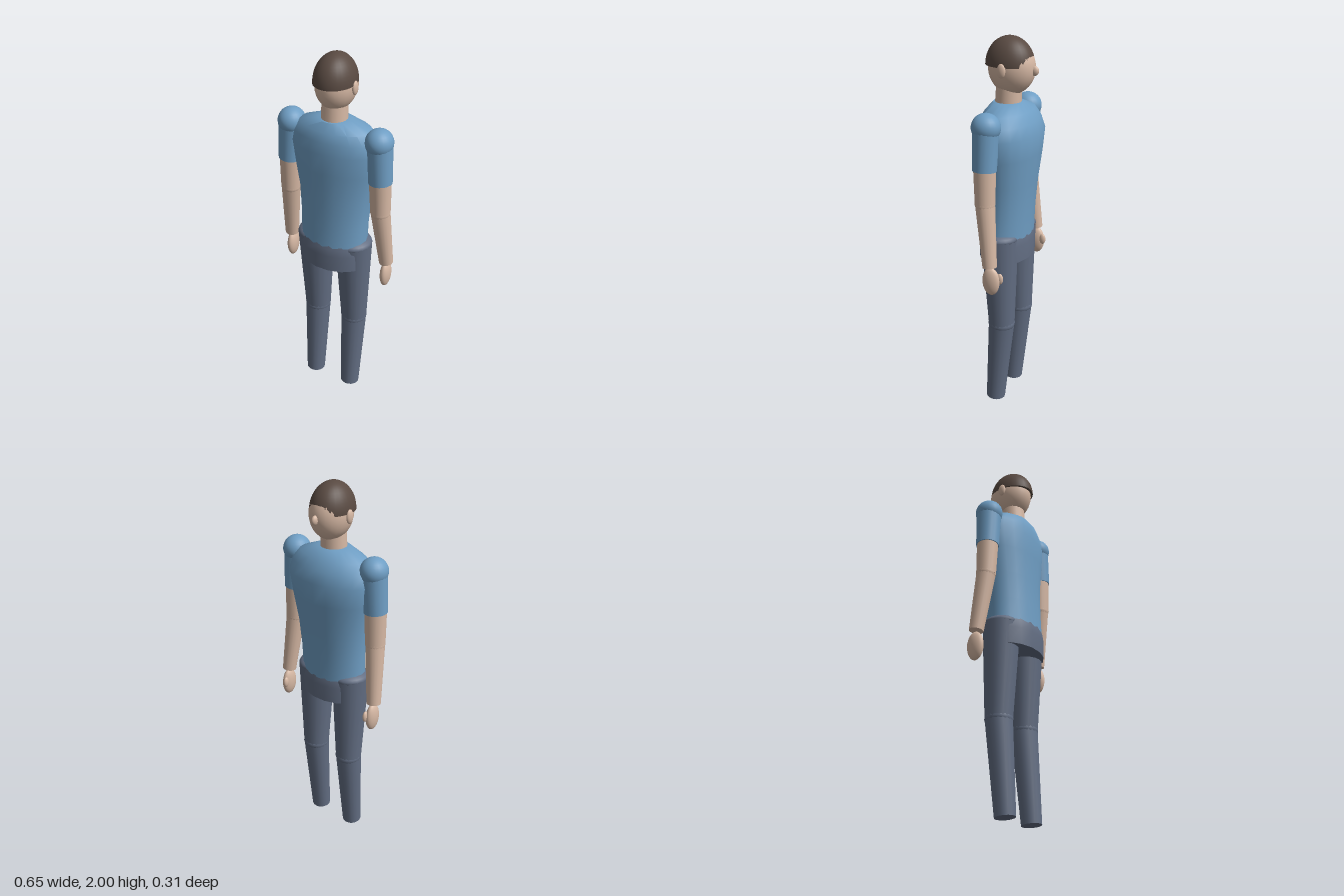
import * as THREE from 'three';
import { mergeVertices, toCreasedNormals } from 'three/addons/utils/BufferGeometryUtils.js';

const mat = (name, color) => {
  const m = new THREE.MeshStandardMaterial({ color });
  m.name = name;
  return m;
};

export function createModel() {
  const model = new THREE.Group();
  model.name = 'standingMan';

  const shirt = mat('blueShirt', 0x6f9ec4);
  const skin = mat('skin', 0xd6b8a4);
  const hair = mat('brownHair', 0x594a42);
  const trousers = mat('greyTrousers', 0x626d82);

  const add = (parent, name, geometry, material) => {
    const mesh = new THREE.Mesh(geometry, material);
    mesh.name = name;
    parent.add(mesh);
    return mesh;
  };

  // Ellipsoid at a centre with three radii
  const ball = (parent, name, material, centre, radii) => {
    const mesh = add(parent, name, new THREE.SphereGeometry(1, 24, 16), material);
    mesh.position.set(...centre);
    mesh.scale.set(...radii);
    return mesh;
  };

  // Tapered limb between two points
  const limb = (parent, name, material, top, bottom, rTop, rBottom) => {
    const a = new THREE.Vector3(...top), b = new THREE.Vector3(...bottom);
    const dir = a.clone().sub(b);
    const mesh = add(parent, name, new THREE.CylinderGeometry(rTop, rBottom, dir.length(), 18), material);
    mesh.position.copy(a).add(b).multiplyScalar(0.5);
    mesh.quaternion.setFromUnitVectors(new THREE.Vector3(0, 1, 0), dir.normalize());
    return mesh;
  };

  // Elliptical loft through rows of [y, halfWidth, halfDepth, centreZ], top to bottom
  const loft = (rows, segments, phase) => {
    const n = rows.length - 1;
    const g = new THREE.CylinderGeometry(1, 1, n, segments, n, false, phase);
    const p = g.attributes.position;
    for (let i = 0; i < p.count; i++) {
      const [y, w, d, z] = rows[Math.round(n / 2 - p.getY(i))];
      p.setXYZ(i, p.getX(i) * w, y, p.getZ(i) * d + z);
    }
    g.deleteAttribute('uv');
    g.deleteAttribute('normal');
    return toCreasedNormals(mergeVertices(g, 1e-5), 0.75);
  };

  // Torso and pelvis
  add(model, 'shirtTorso', loft([
    [1.68, 0.085, 0.075, 0.015],
    [1.64, 0.19, 0.112, 0.008],
    [1.59, 0.232, 0.132, 0],
    [1.53, 0.245, 0.147, -0.006],
    [1.42, 0.226, 0.142, -0.003],
    [1.27, 0.197, 0.132, 0.004],
    [1.12, 0.186, 0.127, 0.012],
    [0.985, 0.184, 0.128, 0.018],
  ], 20, 0), shirt);
  add(model, 'pelvis', loft([
    [1.03, 0.172, 0.116, 0.02],
    [0.99, 0.188, 0.13, 0.02],
    [0.95, 0.194, 0.135, 0.02],
    [0.86, 0.19, 0.135, 0.02],
  ], 16, Math.PI / 16), trousers);

  // Head, facing -z
  const head = new THREE.Group();
  head.name = 'head';
  model.add(head);
  limb(head, 'neck', skin, [0, 1.78, 0.01], [0, 1.65, 0.016], 0.063, 0.067);
  ball(head, 'face', skin, [0, 1.85, -0.004], [0.1, 0.133, 0.121]);
  ball(head, 'nose', skin, [0, 1.84, -0.125], [0.014, 0.024, 0.022]);
  const cap = add(head, 'hair', new THREE.SphereGeometry(1, 28, 12, 0, Math.PI * 2, 0, Math.PI / 2), hair);
  cap.position.set(0, 1.86, 0.005);
  cap.scale.set(0.104, 0.14, 0.125);
  // Underside closing the hair cap
  const rim = add(head, 'hairUnderside', new THREE.CircleGeometry(1, 28), hair);
  rim.rotation.x = Math.PI / 2;
  rim.position.set(0, 1.86, 0.005);
  rim.scale.set(0.104, 0.125, 1);

  for (const s of [1, -1]) {
    ball(head, s > 0 ? 'leftEar' : 'rightEar', skin, [s * 0.103, 1.846, 0.004], [0.012, 0.035, 0.022]);

    // Arm with short sleeve
    const arm = new THREE.Group();
    arm.name = s > 0 ? 'leftArm' : 'rightArm';
    model.add(arm);
    ball(arm, 'shoulder', shirt, [s * 0.242, 1.605, 0.017], [0.07, 0.07, 0.073]);
    limb(arm, 'sleeve', shirt, [s * 0.243, 1.6, 0.017], [s * 0.257, 1.395, 0.02], 0.066, 0.06);
    limb(arm, 'upperArm', skin, [s * 0.256, 1.41, 0.02], [s * 0.262, 1.22, 0.017], 0.056, 0.051);
    ball(arm, 'elbow', skin, [s * 0.262, 1.225, 0.017], [0.051, 0.05, 0.051]);
    limb(arm, 'forearm', skin, [s * 0.262, 1.225, 0.017], [s * 0.289, 0.9, -0.018], 0.05, 0.037);
    ball(arm, 'hand', skin, [s * 0.287, 0.82, -0.023], [0.026, 0.076, 0.047]);
    ball(arm, 'thumb', skin, [s * 0.273, 0.835, -0.066], [0.012, 0.03, 0.018]);

    // Trouser leg
    const leg = new THREE.Group();
    leg.name = s > 0 ? 'leftLeg' : 'rightLeg';
    model.add(leg);
    ball(leg, 'hip', trousers, [s * 0.112, 0.99, 0.013], [0.097, 0.04, 0.099]);
    limb(leg, 'thigh', trousers, [s * 0.112, 0.99, 0.013], [s * 0.115, 0.48, 0.002], 0.098, 0.07);
    ball(leg, 'knee', trousers, [s * 0.115, 0.485, 0.002], [0.071, 0.05, 0.072]);
    limb(leg, 'shin', trousers, [s * 0.115, 0.49, 0.002], [s * 0.115, 0.005, 0.041], 0.07, 0.052);
  }
  return model;
}
